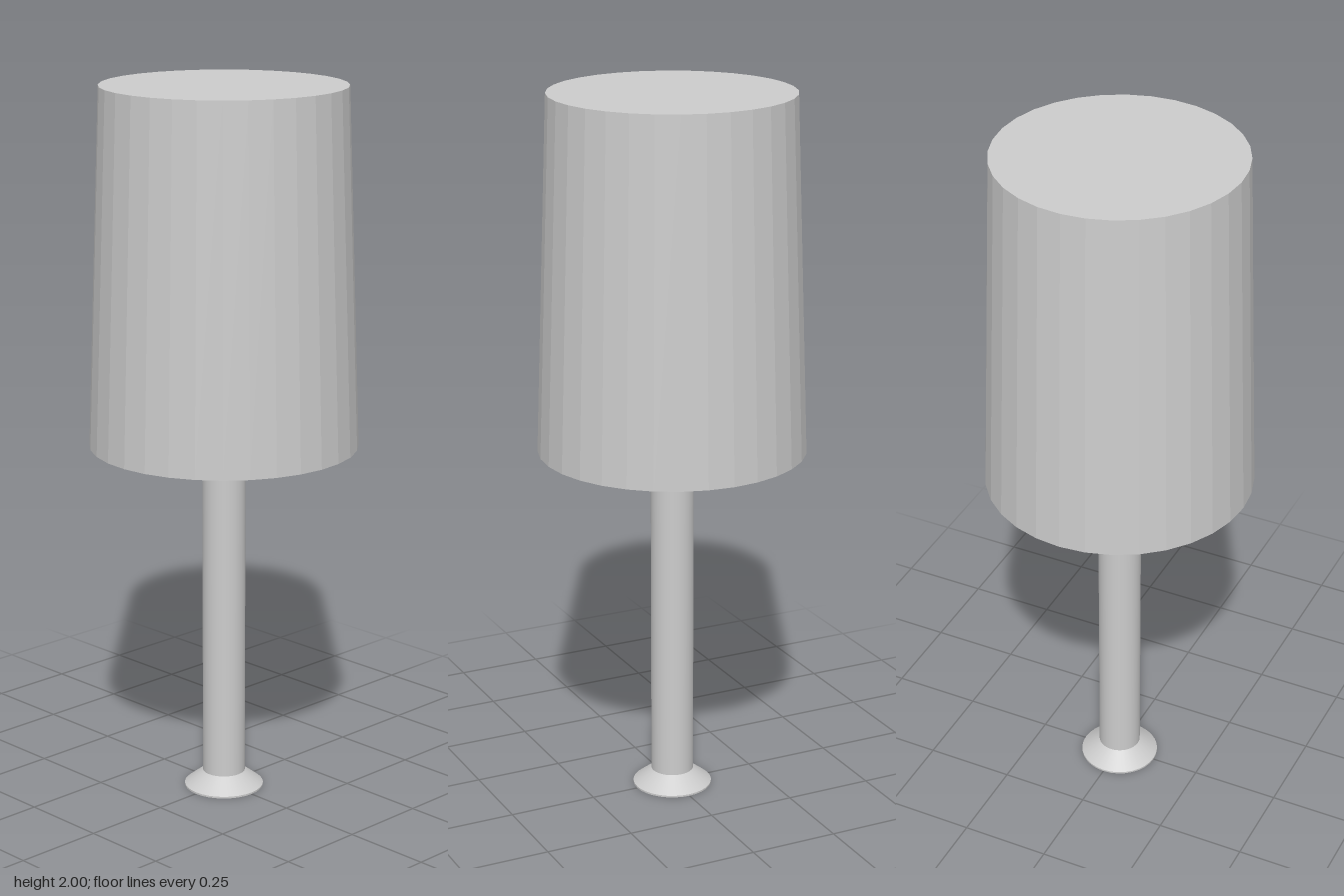
import * as THREE from 'three';

export function createModel() {
  const group = new THREE.Group();
  const grey = new THREE.MeshStandardMaterial({ color: 0xcccccc });
  grey.name = 'light grey';
  const greyFlat = grey.clone();
  greyFlat.flatShading = true;

  // Tapered closed cylinder standing between two heights
  const addPart = (name, rTop, rBottom, y0, y1, material) => {
    const geometry = new THREE.CylinderGeometry(rTop, rBottom, y1 - y0, 32);
    const mesh = new THREE.Mesh(geometry, material);
    mesh.name = name;
    mesh.position.y = (y0 + y1) / 2;
    group.add(mesh);
  };

  // Faceted shade with closed ends
  addPart('shade', 0.336, 0.372, 1.01, 2, greyFlat);
  // Round stem
  addPart('stem', 0.06, 0.06, 0.03, 1.012, grey);
  // Flared foot on a thin rim
  addPart('foot', 0.06, 0.112, 0.005, 0.045, grey);
  addPart('footRim', 0.112, 0.112, 0, 0.005, grey);

  return group;
}
